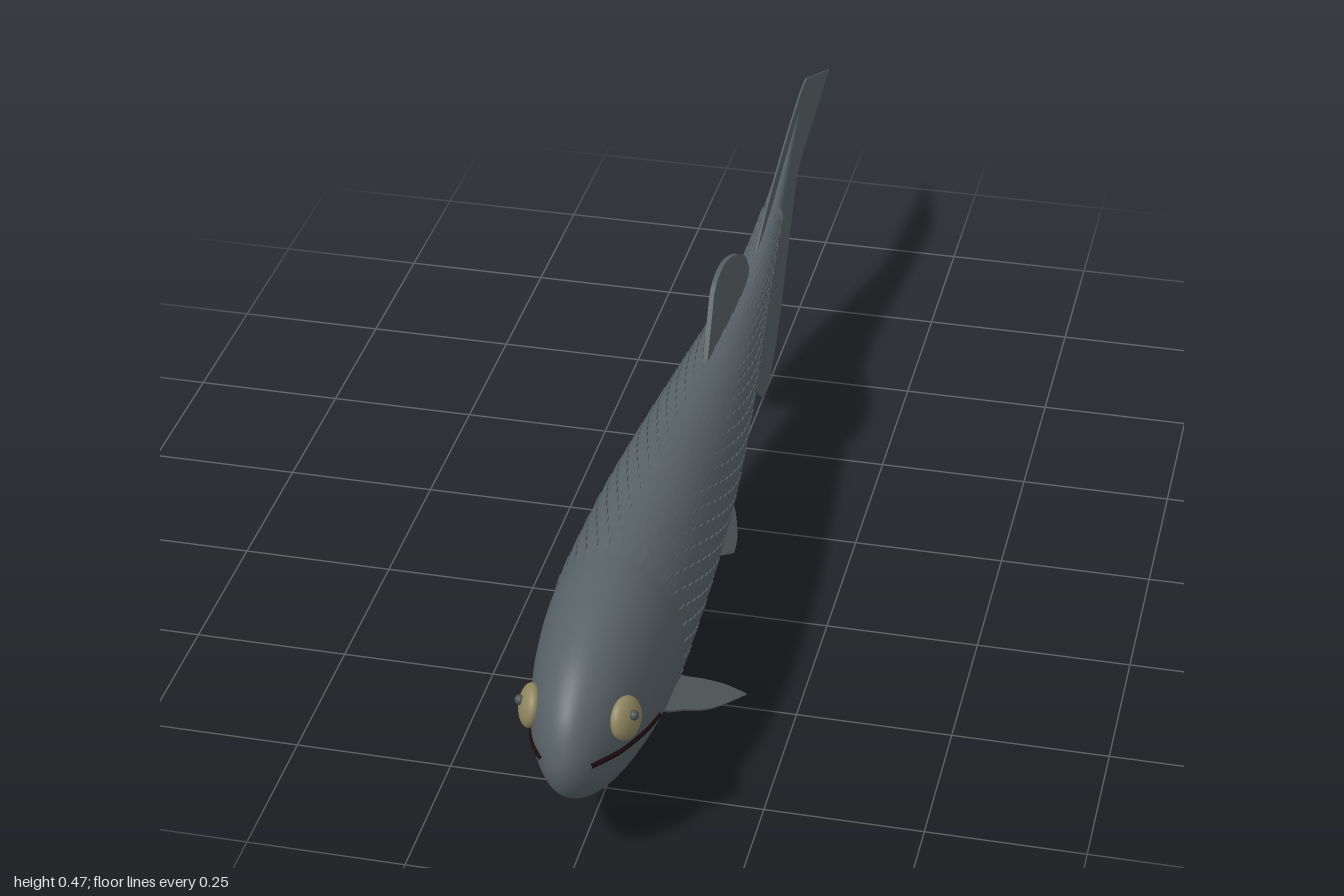
import * as THREE from 'three';

const mat = (name, color, side = THREE.FrontSide) => {
  const m = new THREE.MeshStandardMaterial({ color, side });
  m.name = name;
  return m;
};

// Body stations: z, top, bottom, half width
const STATIONS = [
  [1, 0.222, 0.222, 0], [0.97, 0.3, 0.15, 0.043], [0.9, 0.352, 0.107, 0.075], [0.8, 0.385, 0.082, 0.096],
  [0.7, 0.4, 0.07, 0.105], [0.55, 0.4, 0.075, 0.104], [0.4, 0.394, 0.084, 0.099], [0.2, 0.374, 0.108, 0.087],
  [0, 0.354, 0.15, 0.068], [-0.2, 0.337, 0.215, 0.045], [-0.4, 0.35, 0.285, 0.026],
  [-0.6, 0.405, 0.37, 0.012], [-0.73, 0.438, 0.432, 0.002],
];

// Smooth cross-section at z; squared radii are blended so the nose is round
const ROWS = STATIONS.map(([z, t, b, w]) => [z, (t + b) / 2, ((t - b) / 2) ** 2, w * w]);
function section(z) {
  let i = 0;
  while (i < ROWS.length - 2 && z < ROWS[i + 1][0]) i++;
  const p = ROWS[i], q = ROWS[i + 1];
  const before = ROWS[Math.max(i - 1, 0)], after = ROWS[Math.min(i + 2, ROWS.length - 1)];
  const dz = q[0] - p[0], t = (z - p[0]) / dz, t2 = t * t, t3 = t2 * t;
  const [cy, h2, w2] = [1, 2, 3].map((k) => {
    const m0 = (q[k] - before[k]) / (q[0] - before[0]) * dz;
    const m1 = (after[k] - p[k]) / (after[0] - p[0]) * dz;
    return (2 * t3 - 3 * t2 + 1) * p[k] + (t3 - 2 * t2 + t) * m0 + (3 * t2 - 2 * t3) * q[k] + (t3 - t2) * m1;
  });
  return { cy, h: Math.sqrt(Math.max(h2, 0)), w: Math.sqrt(Math.max(w2, 0)) };
}

function skin(a, z, lift = 0) {
  const { cy, h, w } = section(z);
  return [(w + lift) * Math.sin(a), cy + (h + lift) * Math.cos(a), z];
}

// Skin stretched over rings from front to back
function loft(zs, lift, n = 48) {
  const pos = [], idx = [];
  zs.forEach((z, k) => {
    for (let i = 0; i < n; i++) {
      pos.push(...skin(i / n * Math.PI * 2, z, lift));
      if (k === zs.length - 1) continue;
      const a = k * n + i, b = k * n + (i + 1) % n;
      idx.push(a, b, a + n, b, b + n, a + n);
    }
  });
  const g = new THREE.BufferGeometry();
  g.setAttribute('position', new THREE.Float32BufferAttribute(pos, 3));
  g.setIndex(idx);
  g.computeVertexNormals();
  return g;
}

// Staggered overlapping scales, each rising to a stepped rear rim
function scalesGeometry() {
  const pos = [], around = 34, step = 0.031, length = 0.062;
  const outline = [[0, 0], [1, 0.45], [0.65, 0.82], [0, 1], [-0.65, 0.82], [-1, 0.45]];
  for (let row = 0; row < 37; row++) {
    const z0 = 0.695 - row * step;
    const rise = 0.006 * Math.min(1, section(z0).w / 0.07);
    for (let c = 0; c < around; c++) {
      const mid = (c + (row % 2) / 2) / around * Math.PI * 2;
      const at = ([s, t], down = 0) =>
        skin(mid + s * Math.PI / around, z0 - t * length, rise * (t - 0.45) - down);
      for (let i = 1; i < 5; i++) {
        const p = outline[i], q = outline[i + 1];
        pos.push(...at(outline[0]), ...at(p), ...at(q));
        if (i === 5) continue;
        pos.push(...at(p), ...at(p, rise), ...at(q), ...at(q), ...at(p, rise), ...at(q, rise));
      }
    }
  }
  const g = new THREE.BufferGeometry();
  g.setAttribute('position', new THREE.Float32BufferAttribute(pos, 3));
  g.computeVertexNormals();
  return g;
}

// Thin plate in the z-y plane; each run is a smooth curve, a one-point run is a straight edge
function finGeometry(start, runs, depth) {
  const shape = new THREE.Shape();
  shape.moveTo(...start);
  runs.forEach((run) => {
    if (run.length === 1) shape.lineTo(...run[0]);
    else shape.splineThru(run.map((p) => new THREE.Vector2(...p)));
  });
  const g = new THREE.ExtrudeGeometry(shape, { depth, bevelEnabled: false, curveSegments: 12 });
  g.translate(0, 0, -depth / 2);
  g.rotateY(-Math.PI / 2);
  return g;
}

export function createModel() {
  const model = new THREE.Group();
  model.name = 'fish';
  const bodyMat = mat('slate skin', 0x586266);
  const finMat = mat('grey fin', 0x586163, THREE.DoubleSide);
  const eyeMat = mat('dull gold', 0x8f8660);
  const pupilMat = mat('dark grey pupil', 0x4a5050);
  const mouthMat = mat('dark red mouth', 0x1c0c0e);
  const add = (name, geometry, material, parent = model) => {
    const mesh = new THREE.Mesh(geometry, material);
    mesh.name = name;
    parent.add(mesh);
    return mesh;
  };

  // Head, body and scales
  const range = (n, f) => Array.from({ length: n + 1 }, (_, i) => f(i / n));
  add('head', loft(range(24, (t) => 1 - 0.31 * t * t), 0), bodyMat);
  add('body', loft(range(50, (t) => 0.7 - 1.43 * t), -0.002), bodyMat);
  add('scales', scalesGeometry(), bodyMat);

  // Fins on the centre line
  add('dorsalFin', finGeometry([0.06, 0.33], [
    [[0.045, 0.37], [0, 0.46]],
    [[-0.03, 0.473], [-0.09, 0.47], [-0.17, 0.44], [-0.24, 0.398], [-0.272, 0.36], [-0.27, 0.342]],
    [[-0.2, 0.325]],
  ], 0.008), finMat);
  add('analFin', finGeometry([0.04, 0.19], [
    [[0.005, 0.155], [-0.045, 0.075]],
    [[-0.07, 0.066], [-0.14, 0.082], [-0.22, 0.125], [-0.268, 0.17], [-0.272, 0.2], [-0.24, 0.211], [-0.19, 0.213]],
    [[-0.19, 0.24]],
  ], 0.005), finMat);
  add('tailFin', finGeometry([-0.3, 0.31], [
    [[-0.36, 0.348], [-0.46, 0.393], [-0.6, 0.435], [-0.72, 0.462], [-0.78, 0.467]],
    [[-1, 0.375]], [[-0.735, 0.325]],
    [[-0.69, 0.29], [-0.6, 0.155], [-0.525, 0.055], [-0.44, 0.003], [-0.37, 0.045], [-0.31, 0.13], [-0.277, 0.185]],
    [[-0.3, 0.215], [-0.305, 0.25]],
  ], 0.003), finMat);

  // Paired parts
  const pectoral = finGeometry([0.69, 0.025], [
    [[0.69, 0], [0.655, -0.03], [0.6, -0.075], [0.508, -0.124]],
    [[0.53, -0.08], [0.56, -0.04], [0.59, -0.005], [0.6, 0.025]],
  ], 0.005);
  const pelvic = finGeometry([0.27, 0.02], [
    [[0.24, -0.01], [0.172, -0.052]],
    [[0.13, -0.045], [0.085, -0.022], [0.068, 0.005], [0.07, 0.03]],
  ], 0.004);
  for (const [side, s] of [['left', 1], ['right', -1]]) {
    const pec = add(side + 'PectoralFin', pectoral, finMat);
    pec.position.set(s * 0.08, 0.12, 0);
    pec.rotation.z = s * 0.815;
    const pel = add(side + 'PelvicFin', pelvic, finMat);
    pel.position.set(s * 0.045, 0.112, 0);
    pel.rotation.z = s * 0.62;

    // Flattened eyeball with a small raised pupil
    const eye = add(side + 'Eye', new THREE.SphereGeometry(0.034, 24, 16), eyeMat);
    eye.scale.x = 0.5;
    eye.position.set(s * 0.073, 0.263, 0.907);
    eye.rotation.set(0, -s * 0.35, s * 0.2);
    const pupil = add(side + 'Pupil', new THREE.SphereGeometry(0.008, 12, 8), pupilMat);
    pupil.position.set(s * 0.087, 0.275, 0.913);

    // Mouth line following the skin
    const lip = [[0.979, 0.221], [0.96, 0.219], [0.93, 0.213], [0.88, 0.203], [0.83, 0.191], [0.78, 0.18]];
    const path = new THREE.CatmullRomCurve3(lip.map(([z, y]) => {
      const { cy, h, w } = section(z);
      return new THREE.Vector3(s * w * Math.sqrt(1 - ((y - cy) / h) ** 2), y, z);
    }));
    add(side + 'Mouth', new THREE.TubeGeometry(path, 30, 0.0045, 8), mouthMat);
  }
  return model;
}
